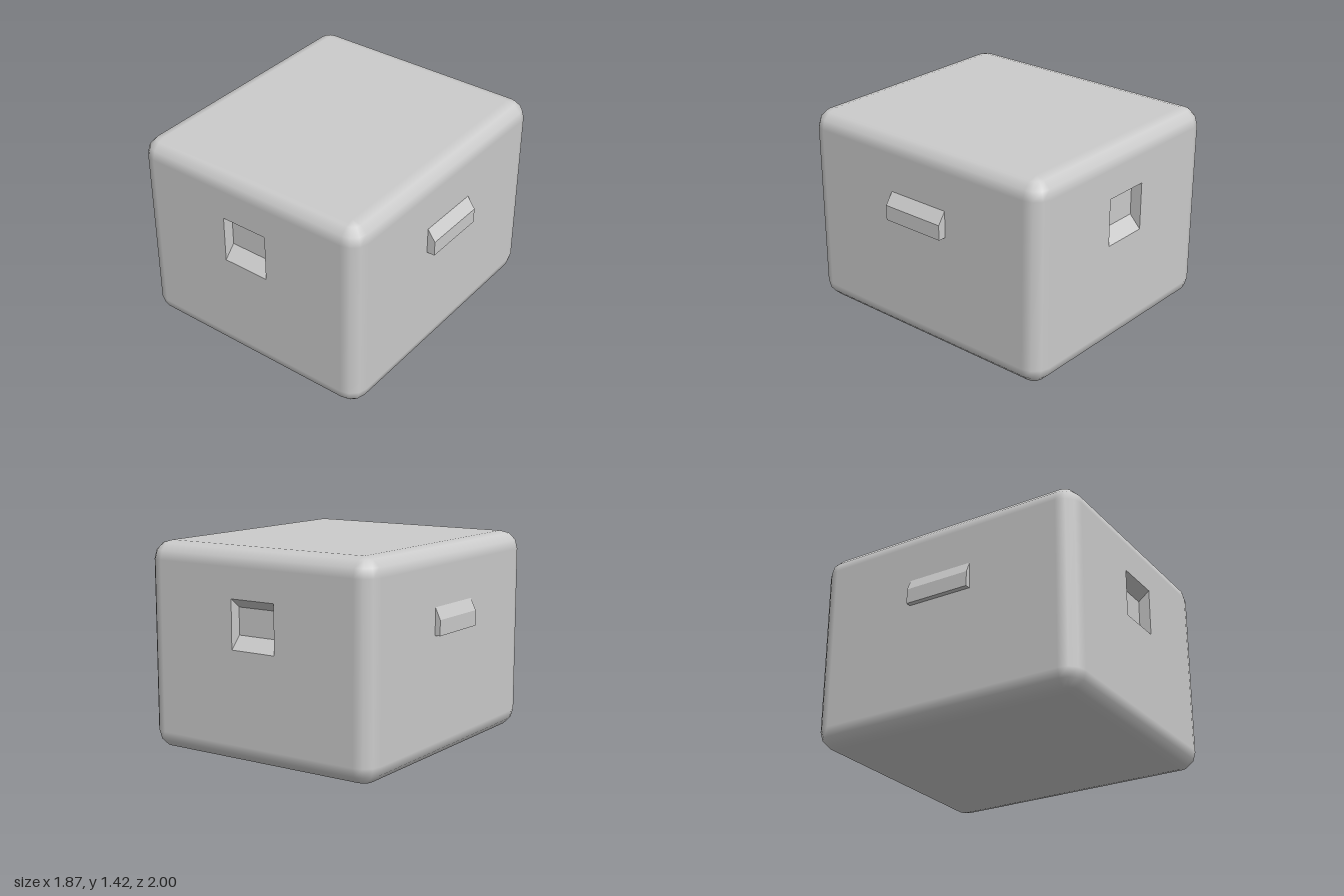
import * as THREE from 'three';

const X0 = -0.01, W = 0.89, H = 1.42, D = 1, R = 0.125; // body centre, half width, height, half depth, edge radius
const HOLE = { x: 0.17, y0: 0.757, y1: 1.09, in0: 0.843, in1: 1.027, depth: 0.08 };

const material = new THREE.MeshStandardMaterial({ color: 0xcccccc });

function addMesh(parent, geometry, name) {
  const mesh = new THREE.Mesh(geometry, material);
  mesh.name = name;
  parent.add(mesh);
  return mesh;
}

// Rounded shell lofted from stacked rounded rectangles, left open at the front and back flats
function shellGeometry() {
  const pos = [], nor = [], idx = [], N = 16;
  [-90, -60, -30, 0, 0, 30, 60, 90].forEach((deg, j) => {
    const phi = THREE.MathUtils.degToRad(deg);
    const c = Math.cos(phi), s = Math.sin(phi);
    for (let i = 0; i < N; i++) {
      const corner = Math.floor(i / 4);
      const a = (corner + (i % 4) / 3) * Math.PI / 2;
      const sx = corner === 0 || corner === 3 ? 1 : -1, sz = corner < 2 ? 1 : -1;
      const n = [c * Math.cos(a), s, c * Math.sin(a)];
      pos.push(sx * (W - R) + R * n[0], (j < 4 ? R : H - R) + R * s, sz * (D - R) + R * n[2]);
      nor.push(...n);
    }
  });
  for (let j = 0; j < 7; j++) {
    for (let i = 0; i < N; i++) {
      if (j === 3 && (i === 3 || i === 11)) continue;
      const k = (i + 1) % N, a = j * N + i, b = j * N + k, c = a + N, d = b + N;
      idx.push(a, c, b, b, c, d);
    }
  }
  // top and bottom flats
  const t = 7 * N;
  idx.push(t, t + 12, t + 8, t, t + 8, t + 4, 0, 8, 12, 0, 4, 8);
  const g = new THREE.BufferGeometry();
  g.setAttribute('position', new THREE.Float32BufferAttribute(pos, 3));
  g.setAttribute('normal', new THREE.Float32BufferAttribute(nor, 3));
  g.setIndex(idx);
  return g;
}

function rectangle(target, x, y0, y1) {
  target.moveTo(-x, y0).lineTo(x, y0).lineTo(x, y1).lineTo(-x, y1).closePath();
  return target;
}

// Flat end wall with an opening for the hand grip
function panelGeometry() {
  const shape = rectangle(new THREE.Shape(), W - R, R, H - R);
  shape.holes.push(rectangle(new THREE.Path(), HOLE.x, HOLE.y0, HOLE.y1));
  return new THREE.ShapeGeometry(shape).translate(0, 0, D);
}

// Pocket behind the opening: sloped floor and ceiling, straight cheeks
function recessGeometry() {
  const { x, y0, y1, in0, in1, depth } = HOLE, zi = D - depth;
  const p = [[y0, D], [in0, zi], [in1, zi], [y1, D]];
  const at = (sx, i) => [sx * x, ...p[i]];
  const pos = [];
  const quad = (a, b, c, d) => pos.push(...a, ...b, ...c, ...a, ...c, ...d);
  for (let i = 0; i < 3; i++) quad(at(-1, i), at(1, i), at(1, i + 1), at(-1, i + 1));
  quad(at(-1, 0), at(-1, 1), at(-1, 2), at(-1, 3));
  quad(at(1, 3), at(1, 2), at(1, 1), at(1, 0));
  const g = new THREE.BufferGeometry();
  g.setAttribute('position', new THREE.Float32BufferAttribute(pos, 3));
  g.computeVertexNormals();
  return g;
}

// Side grip ledge: sloped top, flat underside
function ledgeGeometry(side) {
  const face = X0 + side * W, out = side * 0.937, root = face - side * 0.03;
  const shape = new THREE.Shape([[root, 0.845], [out, 0.845], [out, 0.95], [face, 1.03], [root, 1.03]]
    .map(([x, y]) => new THREE.Vector2(x, y)));
  return new THREE.ExtrudeGeometry(shape, { depth: 0.47, bevelEnabled: false }).translate(0, 0, -0.235);
}

export function createModel() {
  const model = new THREE.Group();
  model.name = 'storageBox';

  const body = new THREE.Group();
  body.name = 'body';
  body.position.x = X0;
  model.add(body);
  addMesh(body, shellGeometry(), 'shell');

  for (const [name, turn] of [['front', 0], ['back', Math.PI]]) {
    addMesh(body, panelGeometry(), name + 'Panel').rotation.y = turn;
    addMesh(body, recessGeometry(), name + 'GripRecess').rotation.y = turn;
  }

  addMesh(model, ledgeGeometry(1), 'leftGripLedge');
  addMesh(model, ledgeGeometry(-1), 'rightGripLedge');
  return model;
}
